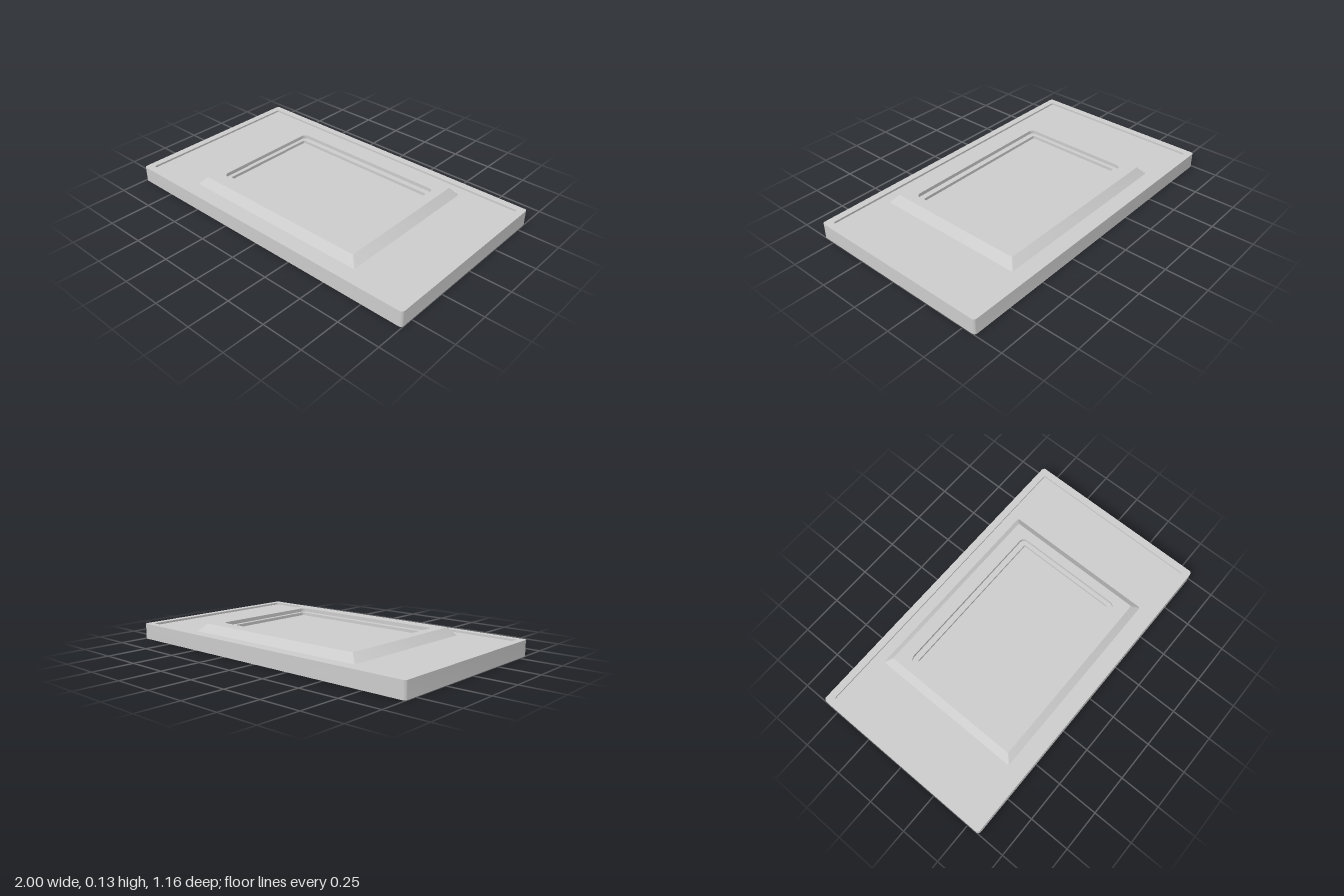
import * as THREE from 'three';
import { toCreasedNormals } from 'three/addons/utils/BufferGeometryUtils.js';

const SEGMENTS = 5; // per rounded corner

// Rounded rectangle loop at height y, given half sizes and corner radius
function loopPoints([hx, hz, r, y]) {
  const points = [];
  const corners = [[1, 1], [-1, 1], [-1, -1], [1, -1]];
  corners.forEach(([sx, sz], c) => {
    for (let i = 0; i <= SEGMENTS; i++) {
      const a = (c + i / SEGMENTS) * Math.PI / 2;
      points.push([sx * (hx - r) + r * Math.cos(a), y, sz * (hz - r) + r * Math.sin(a)]);
    }
  });
  return points;
}

// Skin stacked loops, optionally closing the first and last
function loft(name, rows, material, capStart, capEnd) {
  const loops = rows.map(loopPoints);
  const n = loops[0].length;
  const positions = [];
  const tri = (a, b, c) => positions.push(...a, ...b, ...c);
  for (let i = 0; i < n; i++) {
    const j = (i + 1) % n;
    for (let k = 0; k + 1 < loops.length; k++) {
      const lo = loops[k], hi = loops[k + 1];
      tri(lo[i], hi[i], hi[j]);
      tri(lo[i], hi[j], lo[j]);
    }
    const first = loops[0], last = loops[loops.length - 1];
    if (capStart) tri([0, rows[0][3], 0], first[i], first[j]);
    if (capEnd) tri([0, rows[rows.length - 1][3], 0], last[j], last[i]);
  }
  const geometry = new THREE.BufferGeometry();
  geometry.setAttribute('position', new THREE.Float32BufferAttribute(positions, 3));
  const mesh = new THREE.Mesh(toCreasedNormals(geometry, 0.5), material);
  mesh.name = name;
  return mesh;
}

export function createModel() {
  const group = new THREE.Group();
  group.name = 'framedPanel';
  const grey = new THREE.MeshStandardMaterial({ color: 0xcccccc });

  // Slab with a raised rim around a shallow recess
  group.add(loft('baseTray', [
    [1, 0.58, 0.018, 0],
    [1, 0.58, 0.018, 0.095],
    [0.957, 0.537, 0.01, 0.095],
    [0.957, 0.537, 0.01, 0.083],
    [0.6, 0.46, 0.01, 0.083],
  ], grey, true, false));

  // Sloped frame with a ledge stepping down inside
  group.add(loft('bevelledFrame', [
    [0.615, 0.473, 0.012, 0.083],
    [0.57, 0.432, 0.008, 0.13],
    [0.513, 0.351, 0.03, 0.13],
    [0.513, 0.351, 0.03, 0.108],
    [0.488, 0.317, 0.008, 0.108],
    [0.488, 0.317, 0.008, 0.09],
  ], grey, false, false));

  // Flat panel at the bottom of the frame
  group.add(loft('centrePanel', [
    [0.49, 0.319, 0.008, 0.083],
    [0.49, 0.319, 0.008, 0.09],
  ], grey, false, true));

  return group;
}
